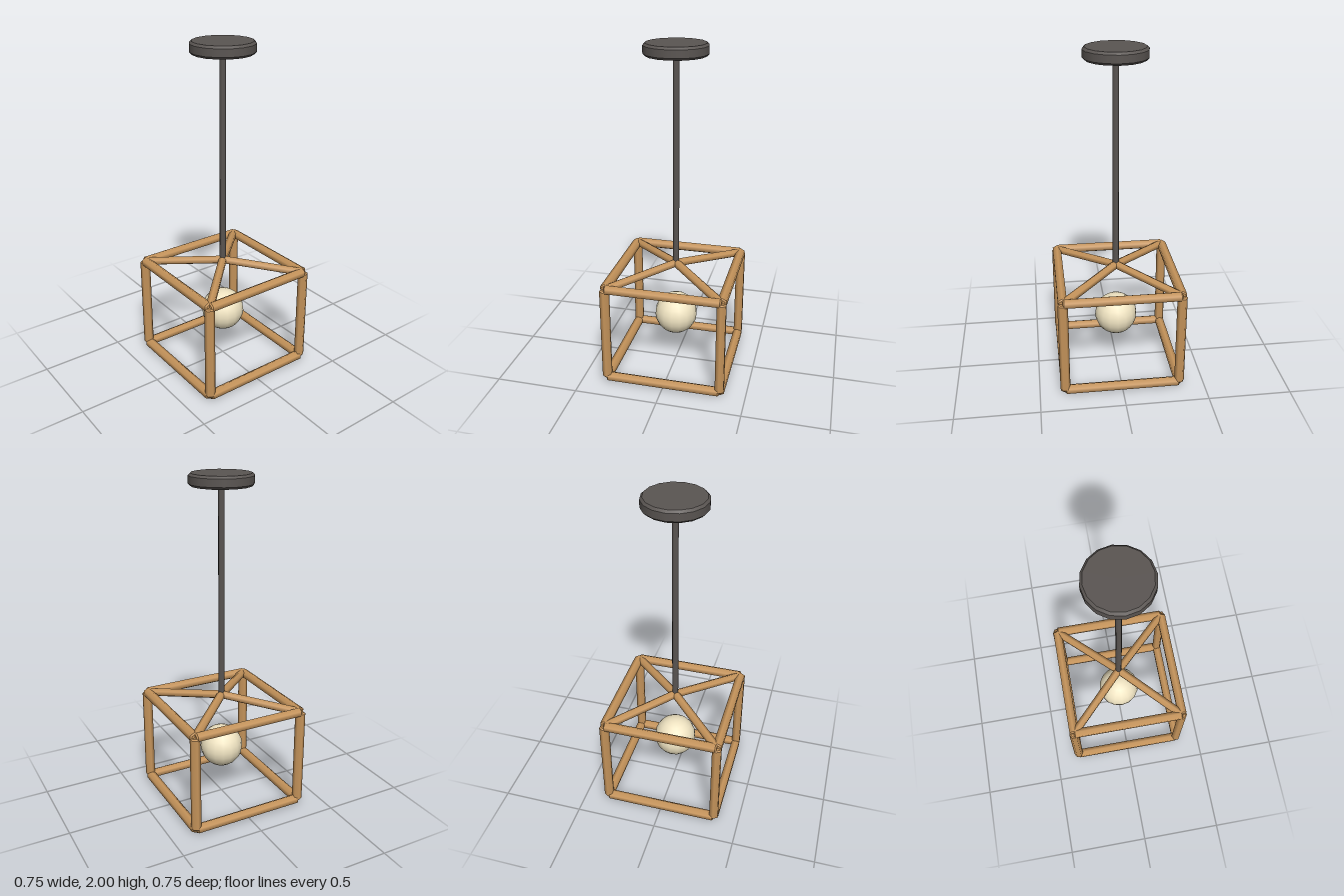
import * as THREE from 'three';

const wood = new THREE.MeshStandardMaterial({ color: 0xc8965c });
const metal = new THREE.MeshStandardMaterial({ color: 0x5a5552 });
const glass = new THREE.MeshStandardMaterial({ color: 0xf0e4c2 });

// Upright prism with bevelled ends; repeated profile points keep the edges crisp.
function bevelledPrism(radius, length, sides, bevel) {
  const h = length / 2;
  const profile = [
    [0, -h], [radius - bevel, -h], [radius - bevel, -h], [radius, -h + bevel], [radius, -h + bevel],
    [radius, h - bevel], [radius, h - bevel], [radius - bevel, h], [radius - bevel, h], [0, h],
  ].map(([x, y]) => new THREE.Vector2(x, y));
  return new THREE.LatheGeometry(profile, sides);
}

export function createModel() {
  const model = new THREE.Group();
  model.name = 'pendantLamp';

  const add = (name, geometry, material, parent = model) => {
    const mesh = new THREE.Mesh(geometry, material);
    mesh.name = name;
    parent.add(mesh);
    return mesh;
  };

  const C = 0.347, LOW = 0.03, HIGH = 0.625, APEX = 0.674, R = 0.03;

  // Wooden cage
  const cage = new THREE.Group();
  cage.name = 'cage';
  model.add(cage);

  // Hexagonal bar between two points, with one edge pointing up
  const bar = (name, from, to, radius) => {
    const geometry = bevelledPrism(radius, from.distanceTo(to), 6, 0.008).rotateX(Math.PI / 2);
    const mesh = add(name, geometry, wood, cage);
    mesh.position.copy(from).lerp(to, 0.5);
    mesh.lookAt(to);
  };

  const postGeometry = bevelledPrism(R, HIGH - LOW, 6, 0.008).rotateY(Math.PI / 2);
  const apex = new THREE.Vector3(0, APEX, 0);
  const corners = [[1, 1], [1, -1], [-1, -1], [-1, 1]];
  corners.forEach(([x, z], i) => {
    const [nx, nz] = corners[(i + 1) % 4];
    // Bottom and top rails
    for (const [name, y] of [['bottomRail', LOW], ['topRail', HIGH]]) {
      bar(name, new THREE.Vector3(x * C, y, z * C), new THREE.Vector3(nx * C, y, nz * C), R);
    }
    // Corner post
    add('cornerPost', postGeometry, wood, cage).position.set(x * C, (LOW + HIGH) / 2, z * C);
    // Sloping brace up to the rod
    bar('roofBrace', new THREE.Vector3(x * C, HIGH, z * C), apex, 0.026);
  });

  // Hanging rod and ceiling plate
  add('rod', new THREE.CylinderGeometry(0.019, 0.019, 1.29, 8), metal).position.y = 1.305;
  add('ceilingPlate', bevelledPrism(0.185, 0.07, 16, 0.013), metal).position.y = 1.965;

  // Globe bulb
  add('bulb', new THREE.SphereGeometry(0.131, 16, 12), glass).position.y = 0.329;

  return model;
}
